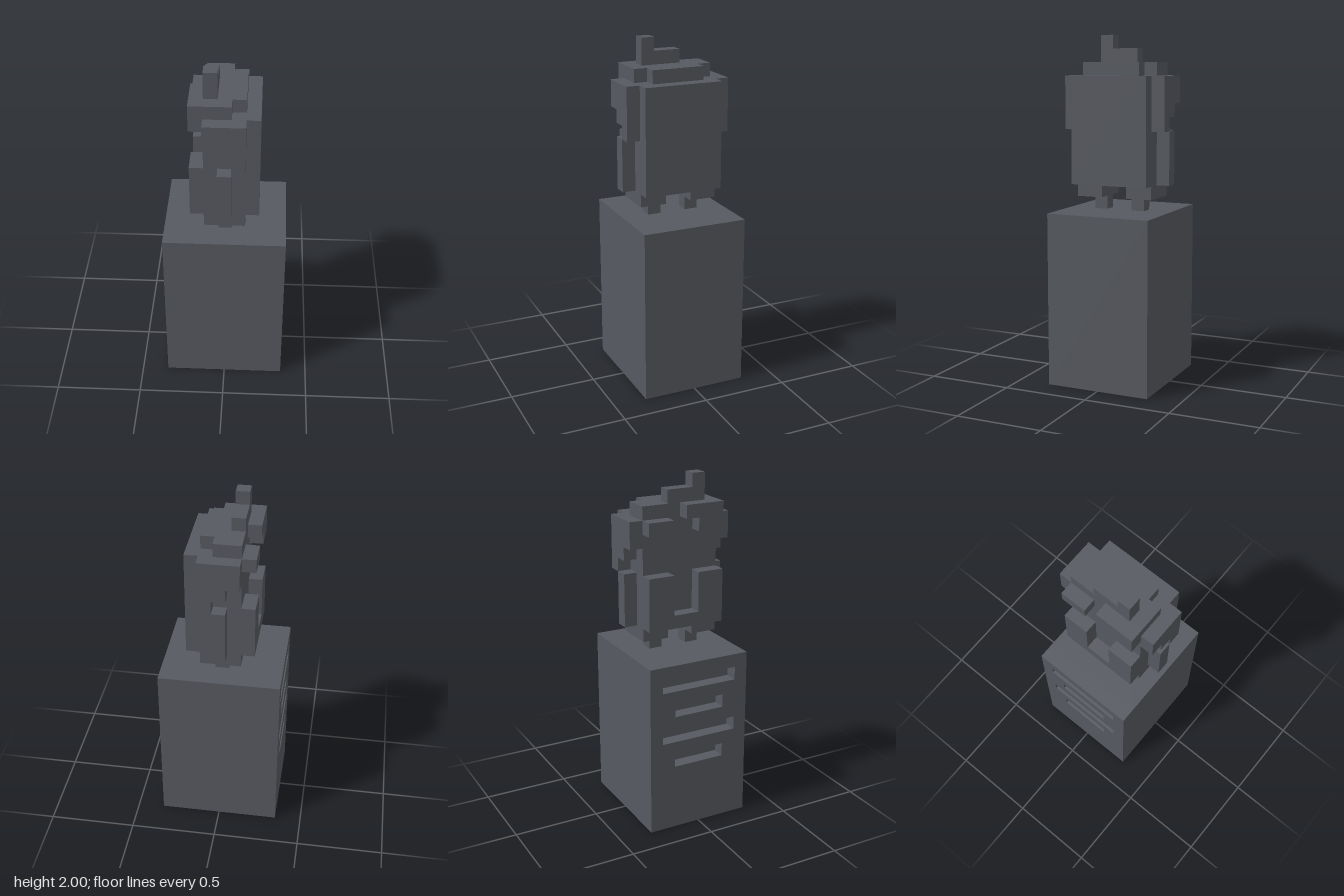
import * as THREE from 'three';

const U = 1 / 13; // edge of one block

export function createModel() {
  const root = new THREE.Group();
  const stone = new THREE.MeshStandardMaterial({ color: 0x565960 });
  stone.name = 'darkStone';

  // Block spanning two corners, measured in block units
  const block = (name, x0, x1, y0, y1, z0, z1, parent = root) => {
    const geo = new THREE.BoxGeometry((x1 - x0) * U, (y1 - y0) * U, (z1 - z0) * U);
    const mesh = new THREE.Mesh(geo, stone);
    mesh.name = name;
    mesh.position.set((x0 + x1) / 2 * U, (y0 + y1) / 2 * U, (z0 + z1) / 2 * U);
    parent.add(mesh);
    return mesh;
  };
  const group = (name) => {
    const g = new THREE.Group();
    g.name = name;
    root.add(g);
    return g;
  };
  // Same block on both z sides
  const pair = (name, x0, x1, y0, y1, z0, z1, parent) => {
    block(name + 'Near', x0, x1, y0, y1, z0, z1, parent);
    block(name + 'Far', x0, x1, y0, y1, -z1, -z0, parent);
  };

  // Pedestal: solid core and a slotted plate on the -x side
  const pedestal = group('pedestal');
  block('pedestalCore', -3.5, 4.5, 0, 13, -4, 4, pedestal);
  const rect = (T, w, y0, y1) => {
    const s = new T();
    s.moveTo(-w * U, y0 * U);
    s.lineTo(w * U, y0 * U);
    s.lineTo(w * U, y1 * U);
    s.lineTo(-w * U, y1 * U);
    s.closePath();
    return s;
  };
  const face = rect(THREE.Shape, 4, 0, 13);
  [[3, 11], [2, 9], [3, 7], [2, 5]].forEach(([w, y]) => face.holes.push(rect(THREE.Path, w, y, y + 1)));
  const plateGeo = new THREE.ExtrudeGeometry(face, { depth: U, bevelEnabled: false });
  plateGeo.rotateY(-Math.PI / 2);
  plateGeo.translate(-3.5 * U, 0, 0);
  const plate = new THREE.Mesh(plateGeo, stone);
  plate.name = 'slottedPlate';
  pedestal.add(plate);

  // Body with legs and feet
  block('body', -1.5, 2.5, 15, 23, -3, 3);
  const legs = group('legs');
  pair('upperLeg', -1.5, 1.5, 14, 15, 1, 3, legs);
  pair('lowerLeg', -0.5, 0.5, 13, 14, 1, 2, legs);

  // Arms and raised chest
  pair('arm', -0.5, 0.5, 15, 19, 3, 4, group('arms'));
  const chest = group('chest');
  pair('chestPanel', -2.5, -1.5, 15, 19, 1, 3, chest);
  block('chestBridge', -2.5, -1.5, 15, 16, -1, 1, chest);

  // Stepped locks on both sides of the head
  const locks = group('sideLocks');
  [21, 20, 19].forEach((bottom, i) => pair('lock' + i, i - 1.5, i - 0.5, bottom, 23, 3, 4, locks));

  // Crown, fringe and tuft
  const crown = group('crown');
  block('crownFront', -1.5, 0.5, 23, 24, -3, 3, crown);
  block('crownBack', 0.5, 1.5, 23, 24, -2, 2, crown);
  pair('fringe', -2.5, -1.5, 22, 23, 1, 3, crown);
  block('fringeTop', -2.5, -1.5, 23, 24, 0, 3, crown);
  block('tuftLow', -1.5, -0.5, 24, 25, -1, 1, crown);
  block('tuftTall', -1.5, -0.5, 24, 26, 1, 2, crown);

  return root;
}
